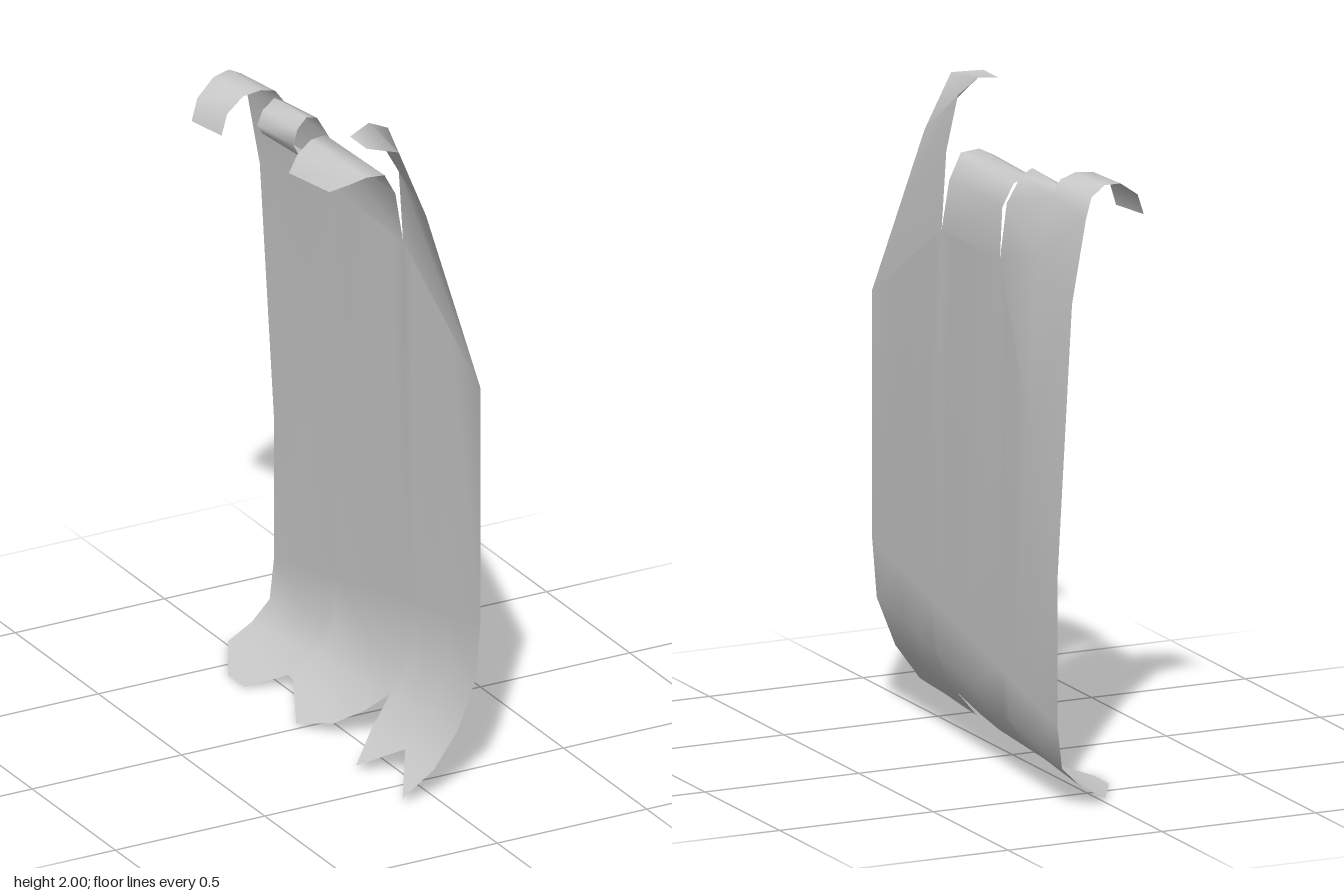
import * as THREE from 'three';
import { mergeVertices } from 'three/addons/utils/BufferGeometryUtils.js';

const X = 0.155; // plane of the flat part of the sheet
const lerp = THREE.MathUtils.lerp;

// Triangles between neighbouring columns of points (columns run upward, front to back)
function loft(columns) {
  const out = [];
  for (let i = 0; i < columns.length - 1; i++) {
    const a = columns[i], b = columns[i + 1];
    for (let j = 0; j < a.length - 1; j++) {
      for (const tri of [[a[j], b[j], b[j + 1]], [a[j], b[j + 1], a[j + 1]]]) {
        const [p, q, r] = tri.map((v) => new THREE.Vector3(...v));
        const area = q.clone().sub(p).cross(r.clone().sub(p)).length();
        if (area > 1e-7) out.push(...tri.flat());
      }
    }
  }
  return out;
}

// Torn lower edge: [z, how many curl segments remain]
const tear = [
  [0.62, 4], [0.44, 2.95], [0.34, 4], [0.24, 3], [0.21, 2], [0.155, 2.65], [0.09, 3.4],
  [-0.02, 4], [-0.235, 2.95], [-0.27, 2.9], [-0.33, 4], [-0.43, 4], [-0.62, 3],
];

// Lower curl profile: x, y at the front edge, y at the back edge
const curl = [
  [X, 0.53, 0.25], [0.14, 0.35, 0.12], [0.08, 0.2, 0.06], [0, 0.09, 0.015], [-0.105, 0.02, 0],
];

function curlPoint(z, t) {
  const i = Math.min(Math.floor(t), 3), f = t - i;
  const [x, front, back] = curl[i].map((v, k) => lerp(v, curl[i + 1][k], f));
  return [x, lerp(back, front, (z + 0.62) / 1.24), z];
}

// Line where the flat sheet starts to bend into the upper flaps
function bendHeight(z) {
  if (z > 0.155) return lerp(1.57, 1.28, (z - 0.155) / 0.465);
  if (z < -0.235) return lerp(1.57, 0.69, (-0.235 - z) / 0.385);
  return 1.57;
}

export function createModel() {
  const parts = {};

  parts.sheetBody = loft(tear.map(([z]) => [curlPoint(z, 0), [X, bendHeight(z), z]]));

  parts.tornLowerCurl = loft(
    tear.map(([z, end]) => [4, 3, 2, 1, 0].map((t) => curlPoint(z, Math.min(t, end)))),
  );

  parts.tallFrontFlap = loft([
    [[X, 1.28, 0.62], [0.107, 1.54, 0.54], [0.06, 1.79, 0.465], [0.01, 1.975, 0.39], [-0.07, 1.985, 0.34]],
    [[X, 1.57, 0.155], [0.13, 1.8, 0.175], [0.085, 1.96, 0.19], [0.01, 2, 0.21], [-0.07, 1.985, 0.24]],
  ]);

  parts.middleFlap = loft([
    [[X, 1.57, 0.155], [0.135, 1.72, 0.145], [0.09, 1.795, 0.16], [0.03, 1.8, 0.16], [-0.01, 1.78, 0.14], [-0.05, 1.74, 0.08]],
    [[X, 1.57, -0.235], [0.135, 1.72, -0.21], [0.09, 1.785, -0.195], [0.03, 1.79, -0.175], [-0.025, 1.765, -0.155], [-0.06, 1.715, -0.145]],
  ]);

  // Shared root of the two rear flaps
  const rootFront = [[X, 1.57, -0.235], [0.135, 1.74, -0.24], [0.09, 1.82, -0.245]];
  const rootMiddle = [[X, bendHeight(-0.43), -0.43], [0.125, 1.62, -0.43], [0.085, 1.8, -0.435]];
  const rootBack = [[X, 0.69, -0.62], [0.11, 1.52, -0.625], [0.065, 1.77, -0.625]];
  parts.rearFlapRoot = loft([rootFront, rootMiddle, rootBack]);

  parts.narrowScrollFlap = loft([
    [rootFront[2], [0.05, 1.835, -0.235], [0.01, 1.81, -0.22], [-0.005, 1.765, -0.215], [0.01, 1.73, -0.21], [0.05, 1.72, -0.22]],
    [rootMiddle[2], [0.05, 1.82, -0.43], [0, 1.8, -0.41], [-0.025, 1.76, -0.4], [0, 1.725, -0.41], [0.045, 1.715, -0.42]],
  ]);

  parts.rearFlap = loft([
    [rootMiddle[2], [0.05, 1.845, -0.425], [0, 1.86, -0.42], [-0.06, 1.853, -0.42], [-0.115, 1.81, -0.417], [-0.135, 1.745, -0.415]],
    [rootBack[2], [0.04, 1.83, -0.61], [-0.01, 1.86, -0.595], [-0.07, 1.855, -0.58], [-0.135, 1.81, -0.56], [-0.16, 1.745, -0.55]],
  ]);

  // Smooth normals across the whole sheet, then one mesh per part on the shared vertices
  const raw = new THREE.BufferGeometry();
  raw.setAttribute('position', new THREE.Float32BufferAttribute(Object.values(parts).flat(), 3));
  const whole = mergeVertices(raw, 1e-4);
  whole.computeVertexNormals();
  const indices = Array.from(whole.index.array);

  const material = new THREE.MeshStandardMaterial({ color: 0xcccccc, side: THREE.DoubleSide });
  const group = new THREE.Group();
  group.name = 'tornSheet';
  let start = 0;
  for (const [name, points] of Object.entries(parts)) {
    const part = new THREE.BufferGeometry();
    part.setIndex(indices.slice(start, start + points.length / 3));
    part.setAttribute('position', whole.attributes.position);
    part.setAttribute('normal', whole.attributes.normal);
    start += points.length / 3;
    const mesh = new THREE.Mesh(part, material);
    mesh.name = name;
    group.add(mesh);
  }
  return group;
}
